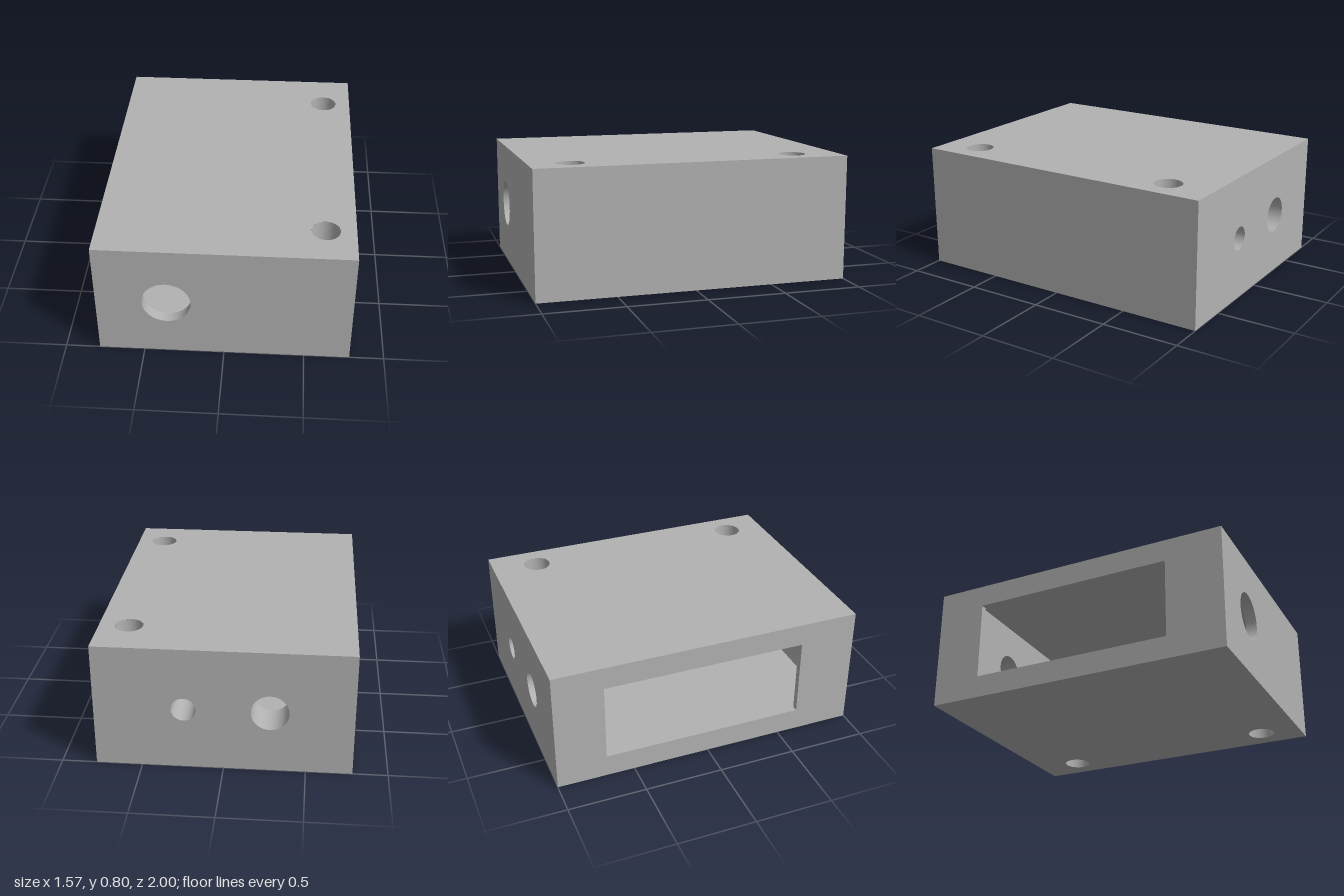
import * as THREE from 'three';

const SEG = 48;
const AXES = [new THREE.Vector3(1, 0, 0), new THREE.Vector3(0, 1, 0), new THREE.Vector3(0, 0, 1)];

// Outer body, inner cavity and side window as [min, max] corners (x, y, z)
const BODY = [[-0.785, 0, -1], [0.785, 0.8, 1]];
const CAVITY = [[-0.745, 0.075, -0.77], [0.43, 0.725, 0.93]];
const WINDOW = [[-0.785, 0.145, -0.68], [-0.745, 0.655, 0.63]];

// Round bores: axis, centre, radius, start and end along the axis
const BORES = [
  { name: 'frontPortBore', axis: 2, at: [-0.35, 0.4], r: 0.15, from: CAVITY[1][2], to: 1 },
  { name: 'rearPortBore', axis: 2, at: [-0.28, 0.4], r: 0.115, from: -1, to: CAVITY[0][2] },
  { name: 'rearSmallBore', axis: 2, at: [0.24, 0.4], r: 0.075, from: -1, to: CAVITY[0][2] },
  { name: 'rearMountingBore', axis: 1, at: [-0.7, 0.6], r: 0.087, from: 0, to: 0.8 },
  { name: 'frontMountingBore', axis: 1, at: [0.74, 0.6], r: 0.087, from: 0, to: 0.8 },
];

export function createModel() {
  const model = new THREE.Group();
  model.name = 'enclosure';
  const grey = new THREE.MeshStandardMaterial({ color: 0xb2b2b2 });
  grey.name = 'grey';

  // Turn a surface to face the other way
  const flip = (geo) => {
    geo.index.array.reverse();
    const n = geo.attributes.normal;
    for (let i = 0; i < n.array.length; i++) n.array[i] *= -1;
  };

  const add = (name, geo, axis, parent) => {
    const u = AXES[(axis + 1) % 3], v = AXES[(axis + 2) % 3];
    geo.applyMatrix4(new THREE.Matrix4().makeBasis(u, v, AXES[axis]));
    const mesh = new THREE.Mesh(geo, grey);
    mesh.name = name;
    parent.add(mesh);
  };

  // Rectangle of a box side, as corner points in the side's own plane
  const rect = ([lo, hi], axis) => {
    const u = (axis + 1) % 3, v = (axis + 2) % 3;
    return [[lo[u], lo[v]], [hi[u], lo[v]], [hi[u], hi[v]], [lo[u], hi[v]]]
      .map(([a, b]) => new THREE.Vector2(a, b));
  };

  // One side of a box, pierced by every bore that ends on it
  const panel = (name, box, axis, end, inward, parent) => {
    const pos = box[end][axis];
    const shape = new THREE.Shape(rect(box, axis));
    for (const b of BORES) {
      if (b.axis === axis && (b.from === pos || b.to === pos)) {
        shape.holes.push(new THREE.Path().absarc(b.at[0], b.at[1], b.r, 0, Math.PI * 2, true));
      }
    }
    if (box !== WINDOW && axis === 0 && end === 0) shape.holes.push(new THREE.Path(rect(WINDOW, 0)));
    const geo = new THREE.ShapeGeometry(shape, SEG);
    geo.translate(0, 0, pos);
    if ((end === 0) !== inward) flip(geo);
    add(name, geo, axis, parent);
  };

  // Outer shell, cavity walls and window frame
  const sides = [['right', 'left'], ['bottom', 'top'], ['back', 'front']];
  const layers = [['outerShell', BODY, false], ['cavity', CAVITY, true], ['windowFrame', WINDOW, true]];
  for (const [name, box, inward] of layers) {
    const group = new THREE.Group();
    group.name = name;
    model.add(group);
    for (let axis = box === WINDOW ? 1 : 0; axis < 3; axis++) {
      for (const end of [0, 1]) panel(`${name} ${sides[axis][end]}`, box, axis, end, inward, group);
    }
  }

  // Smooth bore linings, facing inward
  for (const b of BORES) {
    const geo = new THREE.CylinderGeometry(b.r, b.r, b.to - b.from, SEG, 1, true);
    geo.rotateX(Math.PI / 2);
    geo.translate(b.at[0], b.at[1], (b.from + b.to) / 2);
    flip(geo);
    add(b.name, geo, b.axis, model);
  }
  return model;
}
